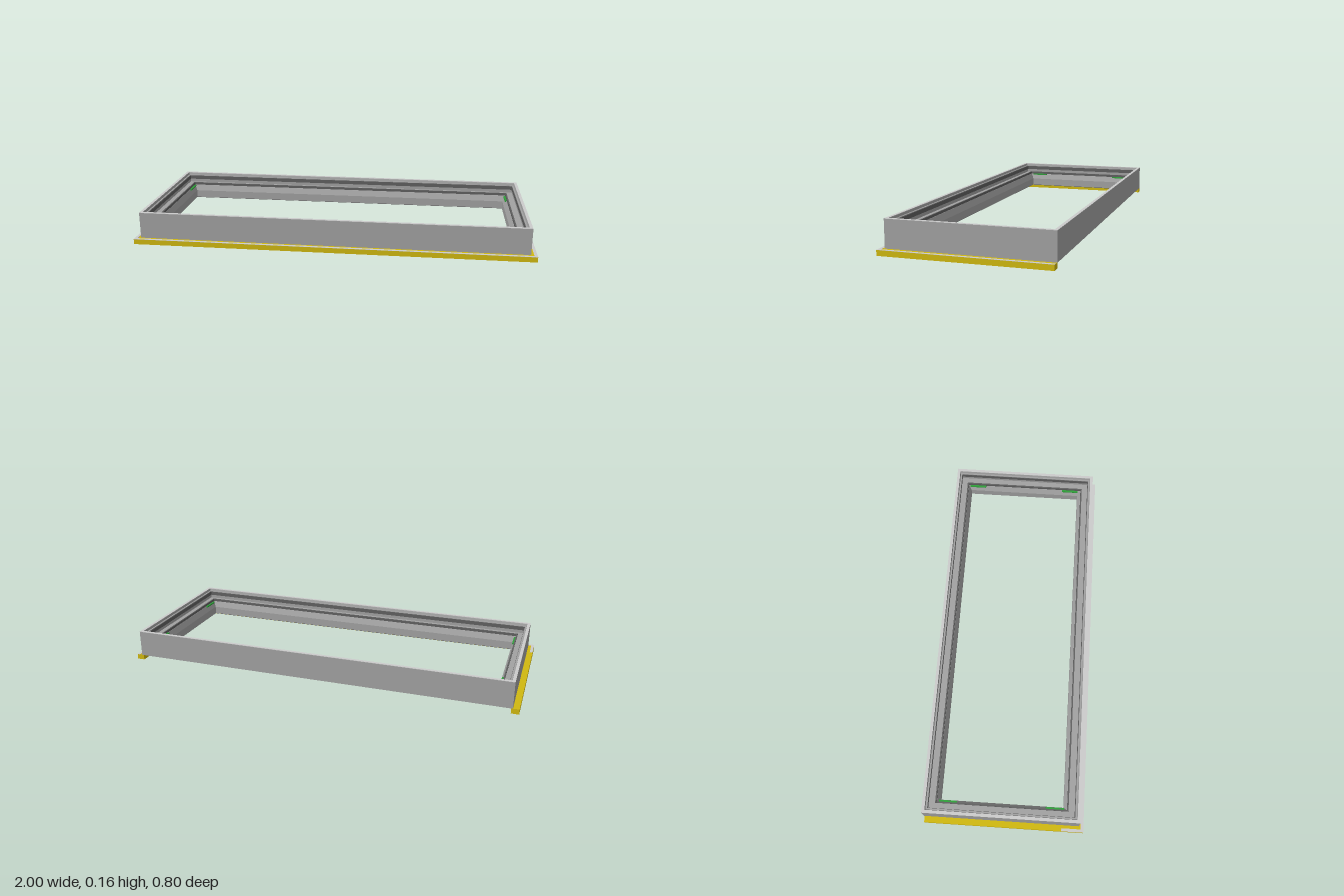
import * as THREE from 'three';

const paint = (color) => new THREE.MeshStandardMaterial({ color });
const grey = paint(0xa1a1a1);
const lightGrey = paint(0xcccccc);
const darkGrey = paint(0x606060);
const yellow = paint(0xd0b810);
const green = paint(0x2fa03a);

// Box given by its minimum and maximum corners
function box(name, material, [x0, y0, z0], [x1, y1, z1]) {
  const geometry = new THREE.BoxGeometry(x1 - x0, y1 - y0, z1 - z0);
  geometry.translate((x0 + x1) / 2, (y0 + y1) / 2, (z0 + z1) / 2);
  const mesh = new THREE.Mesh(geometry, material);
  mesh.name = name;
  return mesh;
}

// Sweeps a closed [inset, height] section round the frame's rectangle with mitred corners
function mitredFrame(name, material, section) {
  const corner = ([inset, y], i) => {
    const [sx, sz] = [[-1, 1], [1, 1], [1, -1], [-1, -1]][i % 4];
    return [sx * (0.97 - inset), y, sz * (0.3875 - inset)];
  };
  const positions = [];
  section.forEach((p, k) => {
    const q = section[(k + 1) % section.length];
    for (let i = 0; i < 4; i++) {
      const a = corner(p, i), b = corner(p, i + 1), c = corner(q, i + 1), d = corner(q, i);
      positions.push(...a, ...b, ...c, ...a, ...c, ...d);
    }
  });
  const geometry = new THREE.BufferGeometry();
  geometry.setAttribute('position', new THREE.Float32BufferAttribute(positions, 3));
  geometry.computeVertexNormals();
  const mesh = new THREE.Mesh(geometry, material);
  mesh.name = name;
  mesh.position.z = -0.0125;
  return mesh;
}

// Rectangular section between two insets and two heights
const strip = (i0, i1, y0, y1) => [[i0, y0], [i0, y1], [i1, y1], [i1, y0]];

export function createModel() {
  const model = new THREE.Group();
  model.name = 'windowFrame';

  // Stepped frame: tall outer rim, sunken ledge, sloped inner edge, grooved underside
  model.add(mitredFrame('frame', grey, [
    [0, 0.027], [0, 0.159], [0.015, 0.159], [0.018, 0.148], [0.026, 0.148],
    [0.026, 0.108], [0.058, 0.108], [0.066, 0.1],
    [0.08, 0.07], [0.08, 0.03], [0.077, 0.027], [0.06, 0.027], [0.06, 0.033],
    [0.052, 0.033], [0.052, 0.027],
  ]));
  model.add(mitredFrame('rimCap', lightGrey, strip(0, 0.015, 0.159, 0.161)));
  model.add(mitredFrame('outerSeal', darkGrey, strip(0.024, 0.028, 0.125, 0.145)));
  model.add(mitredFrame('innerSeal', darkGrey, strip(0.058, 0.065, 0.1, 0.114)));

  // Trim under the front and both sides, open at the back, with a pale cap on its outer edge
  const trim = new THREE.Group();
  trim.name = 'trim';
  trim.add(
    box('frontTrim', yellow, [-1, 0, 0.362], [1, 0.026, 0.4]),
    box('leftTrim', yellow, [0.962, 0, -0.397], [1, 0.026, 0.362]),
    box('rightTrim', yellow, [-1, 0, -0.397], [-0.962, 0.026, 0.362]),
    box('frontTrimCap', lightGrey, [-1, 0.026, 0.385], [1, 0.027, 0.4]),
    box('leftTrimCap', lightGrey, [0.985, 0.026, -0.397], [1, 0.027, 0.385]),
    box('rightTrimCap', lightGrey, [-1, 0.026, 0.29], [-0.985, 0.027, 0.385]),
  );
  model.add(trim);

  // Thin green setting strips at the inner corners of the short sides
  for (const x of [-0.9, 0.9]) {
    for (const z of [-0.28, 0.25]) {
      model.add(box('settingStrip', green, [x - 0.005, 0.095, z - 0.045], [x + 0.005, 0.102, z + 0.045]));
    }
  }
  return model;
}
